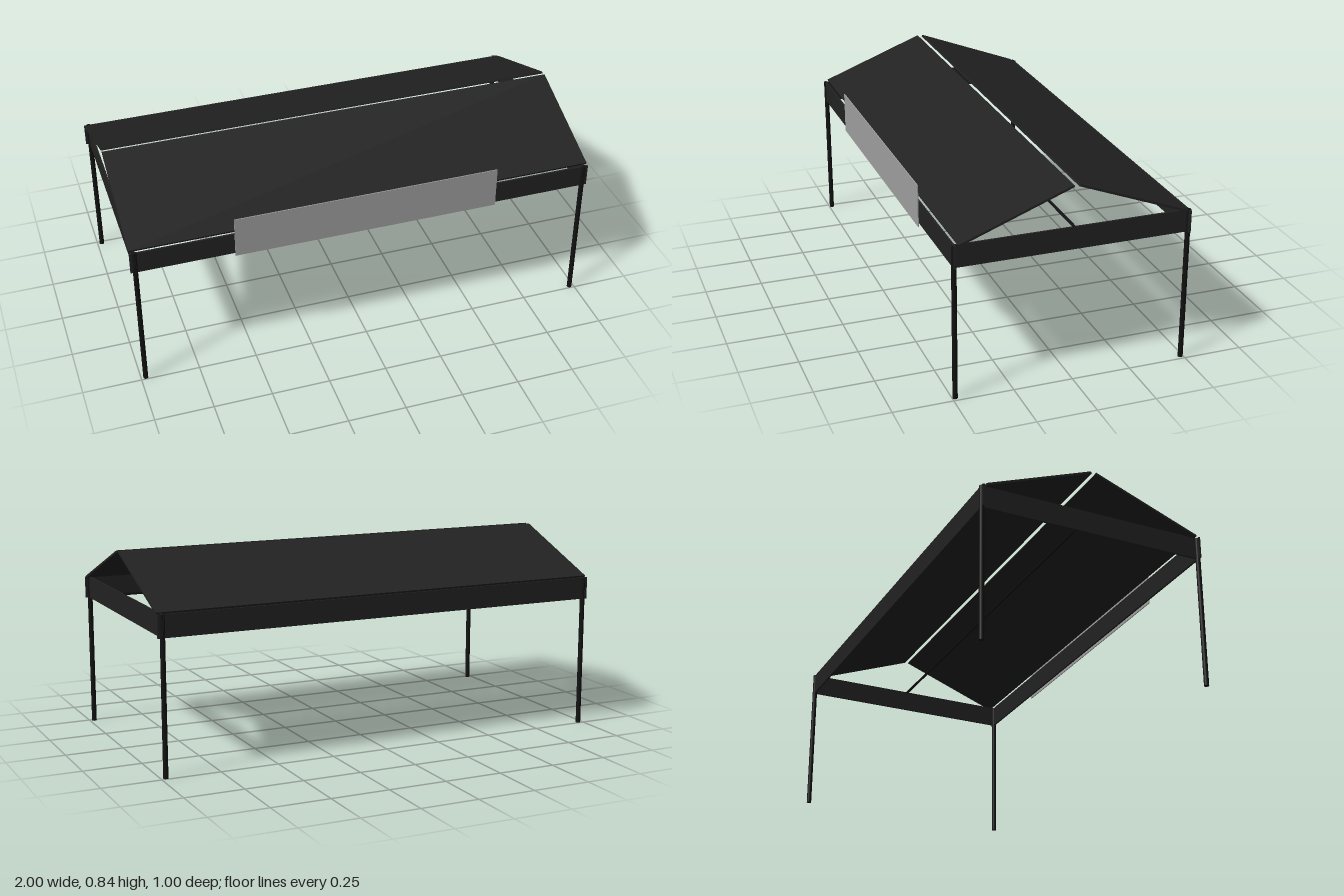
import * as THREE from 'three';

function material(name, color) {
  const m = new THREE.MeshStandardMaterial({ color });
  m.name = name;
  return m;
}

export function createModel() {
  const fabric = material('charcoal fabric', 0x222222);
  const metal = material('black metal', 0x111111);
  const board = material('grey board', 0xa0a0a0);

  const model = new THREE.Group();
  model.name = 'canopyTent';

  function add(name, geometry, mat, x, y, z) {
    const mesh = new THREE.Mesh(geometry, mat);
    mesh.name = name;
    mesh.position.set(x, y, z);
    model.add(mesh);
    return mesh;
  }

  const legX = 0.98, legZ = 0.488, eaveY = 0.662;

  // Four slim round legs
  for (const sx of [-1, 1]) {
    for (const sz of [-1, 1]) {
      const name = (sz > 0 ? 'front' : 'back') + (sx > 0 ? 'Left' : 'Right') + 'Leg';
      add(name, new THREE.CylinderGeometry(0.0105, 0.0105, eaveY, 16), metal, sx * legX, eaveY / 2, sz * legZ);
    }
  }

  // Valance boards crossing at the legs
  const drop = 0.095, valanceY = eaveY - drop / 2;
  for (const s of [-1, 1]) {
    add(s > 0 ? 'frontValance' : 'backValance',
      new THREE.BoxGeometry(2, drop, 0.008), fabric, 0, valanceY, s * legZ);
    add(s > 0 ? 'leftValance' : 'rightValance',
      new THREE.BoxGeometry(0.008, drop, 0.996), fabric, s * legX, valanceY, 0);
  }

  // Sloping roof panels with an open slot along the ridge
  const run = 0.464, rise = 0.177;
  for (const s of [-1, 1]) {
    const panel = add(s > 0 ? 'frontRoofPanel' : 'backRoofPanel',
      new THREE.BoxGeometry(2, 0.009, Math.hypot(run, rise)), fabric, 0, 0.752, s * 0.2425);
    panel.rotation.x = s * Math.atan2(rise, run);
  }

  // Round bar running lengthwise between the end valances
  const bar = add('centreBar', new THREE.CylinderGeometry(0.006, 0.006, legX * 2, 12), metal, 0, 0.662, 0);
  bar.rotation.z = Math.PI / 2;

  // Blank sign board on the front
  add('signBoard', new THREE.BoxGeometry(1.14, 0.18, 0.004), board, 0, 0.65, 0.5);

  return model;
}
